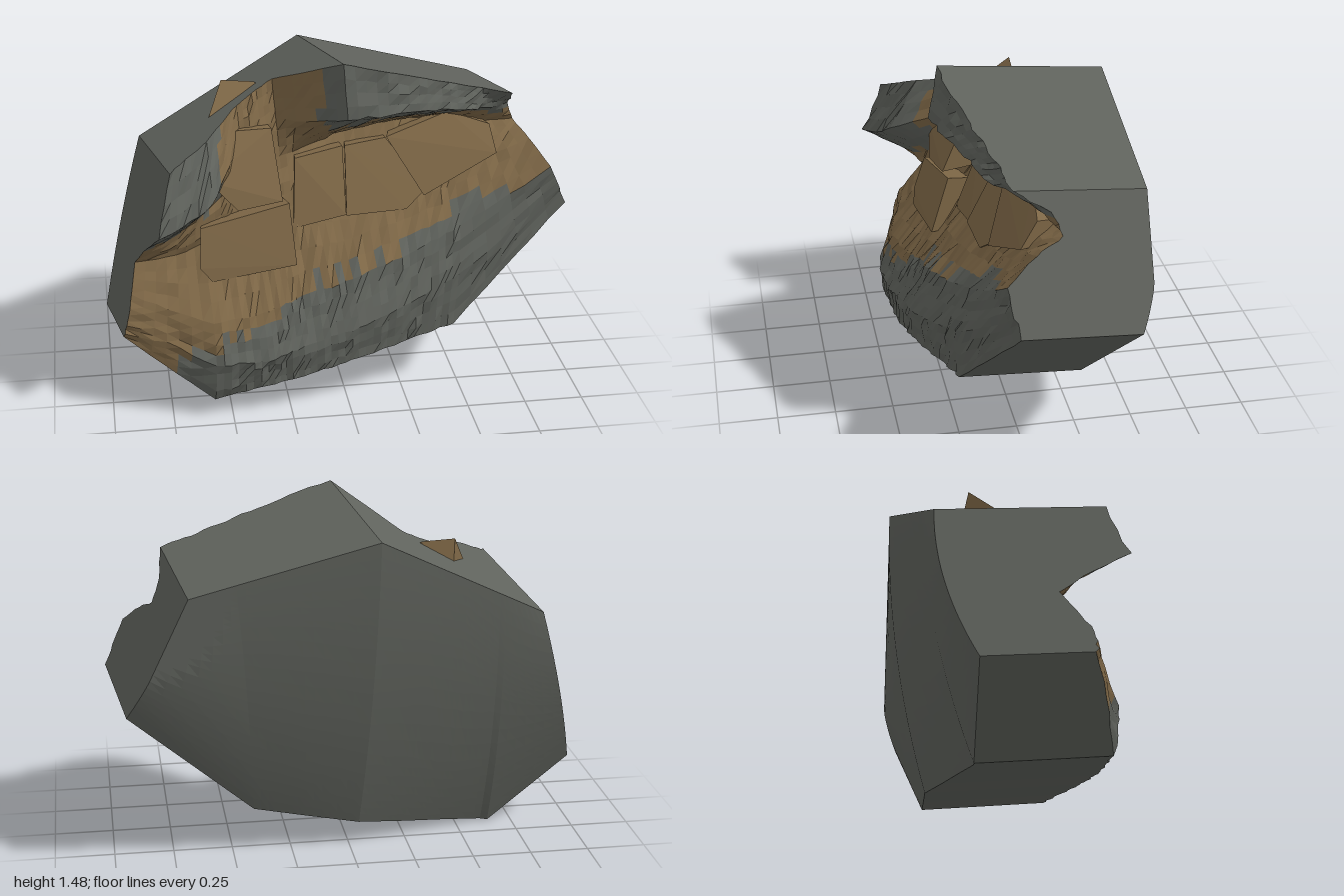
import * as THREE from 'three';
import { ConvexGeometry } from 'three/addons/geometries/ConvexGeometry.js';

const GREY = 0x5f625c, BROWN = 0x7f6847;
const SHEAR = 0.137; // the block leans right and up as it comes forward
const SUB_X = 7, SUB_Y = 4;

// Cross-sections from left wall to right wall: bottom corner of the outline, x of the top corner,
// depth at the bottom, [y, z] up the front (belly, floor front, floor back, cave back, lip), depth at the top.
const sections = [
  { bottom: [-0.985, 0.305], top: -0.78, z0: 0.32, p: [[0.42, 0.32], [0.52, 0.27], [0.63, 0.19], [0.72, 0.28], [0.86, 0.48]], z1: 0.39 },
  { bottom: [-0.63, 0.02], top: -0.6, z0: 0.42, p: [[0.25, 0.45], [0.42, 0.39], [0.7, 0.18], [0.83, 0.18], [0.96, 0.38]], z1: 0.25 },
  { bottom: [-0.4, 0.066], top: -0.42, z0: 0.41, p: [[0.25, 0.43], [0.43, 0.35], [0.75, 0.12], [0.95, 0.08], [1.1, 0.05]], z1: 0.01 },
  { bottom: [-0.22, 0.1], top: -0.25, z0: 0.4, p: [[0.3, 0.41], [0.48, 0.31], [0.8, 0.08], [1.0, 0.01], [1.15, -0.03]], z1: -0.08 },
  { bottom: [0, 0.145], top: -0.035, z0: 0.36, p: [[0.35, 0.38], [0.54, 0.3], [0.8, 0.06], [1.04, -0.08], [1.25, 0.29]], z1: 0.25 },
  { bottom: [0.23, 0.19], top: 0.3, z0: 0.3, p: [[0.42, 0.31], [0.61, 0.24], [0.85, 0.04], [1.1, -0.1], [1.25, 0.22]], z1: 0.18 },
  { bottom: [0.45, 0.235], top: 0.55, z0: 0.24, p: [[0.5, 0.24], [0.7, 0.18], [0.9, 0.02], [1.1, -0.12], [1.22, 0.14]], z1: 0.11 },
  { bottom: [0.99, 0.73], top: 0.74, z0: 0.08, p: [[0.82, 0.1], [0.93, 0.12], [1.02, 0], [1.07, -0.12], [1.16, -0.07]], z1: 0.07 },
];

const lerp = THREE.MathUtils.lerp;
const hash = (i, j) => {
  const s = Math.sin(i * 127.1 + j * 311.7) * 43758.5453;
  return s - Math.floor(s) - 0.5;
};
const place = (u, v, z) => new THREE.Vector3(u + SHEAR * z, v + SHEAR * z, z);

// Gabled top edge, and depth of the back along its top and bottom edges
const gable = (u) => 1.445 + 0.53 * Math.min(u + 0.035, 0) - 0.258 * Math.max(u + 0.035, 0);
const backTop = (u) => -0.48 - 0.236 * Math.min(u + 0.035, 0);
const backBottom = (u) => Math.min(-0.13, -0.3 - 0.286 * Math.min(u, 0) - 0.22 * Math.max(u - 0.45, 0));

// Each section as [fraction up the outline, depth] pairs
const profiles = sections.map(({ bottom, top, z0, p, z1 }) => [
  [0, z0],
  ...p.map(([y, z]) => [(y - SHEAR * z - bottom[1]) / (gable(top) - bottom[1]), z]),
  [1, z1],
]);

const COLS = (sections.length - 1) * SUB_X, ROWS = 6 * SUB_Y;

// Front and back point of one grid cell corner
function corner(i, j) {
  const c = Math.min(Math.floor(i / SUB_X), sections.length - 2), fx = i / SUB_X - c;
  const r = Math.min(Math.floor(j / SUB_Y), 5), fy = j / SUB_Y - r;
  const mix = (k) => lerp(
    lerp(profiles[c][r][k], profiles[c][r + 1][k], fy),
    lerp(profiles[c + 1][r][k], profiles[c + 1][r + 1][k], fy), fx);
  const [a, b] = [sections[c], sections[c + 1]];
  const u0 = lerp(a.bottom[0], b.bottom[0], fx), v0 = lerp(a.bottom[1], b.bottom[1], fx);
  const u1 = lerp(a.top, b.top, fx);
  const inside = i > 0 && i < COLS && j > 0 && j < ROWS;
  const t = mix(0) + (inside ? hash(j, i + 40) * 0.008 : 0);
  const u = lerp(u0, u1, t), v = lerp(v0, gable(u1), t);
  const z = mix(1) + hash(i, j) * 0.018;
  const zBack = lerp(backBottom(u0), backTop(u1), t) - 0.18 * t * (1 - t);
  return { front: place(u, v, z), back: place(u, v, Math.max(-0.48, zBack)) };
}

function mesh(name, geometry, color) {
  const m = new THREE.Mesh(geometry, new THREE.MeshStandardMaterial({ color, flatShading: true }));
  m.name = name;
  return m;
}

function fromTriangles(points) {
  const g = new THREE.BufferGeometry().setFromPoints(points);
  g.computeVertexNormals();
  return g;
}

// Faceted boulder: an outline of [x, y, z] corners pushed back and shrunk
function boulder(name, outline, depth) {
  const pts = outline.map((p) => new THREE.Vector3(...p));
  const mid = pts.reduce((a, p) => a.add(p), new THREE.Vector3()).divideScalar(pts.length);
  const rear = pts.map((p) => p.clone().lerp(mid, 0.15).add(new THREE.Vector3(0, 0, -depth)));
  return mesh(name, new ConvexGeometry([...pts, ...rear]), BROWN);
}

export function createModel() {
  const group = new THREE.Group();
  group.name = 'caveRock';
  const grid = [];
  for (let i = 0; i <= COLS; i++) {
    grid.push([]);
    for (let j = 0; j <= ROWS; j++) grid[i].push(corner(i, j));
  }
  const F = (i, j) => grid[i][j].front, B = (i, j) => grid[i][j].back;
  const shell = [], crust = [], cave = [];
  const quad = (list, a, b, c, d) => list.push(a, b, c, a, c, d);

  // Carved front (crust outside, earth inside) and smooth back
  for (let i = 0; i < COLS; i++) {
    for (let j = 0; j < ROWS; j++) {
      const jag = hash(i, 7), { x, y } = F(i, j);
      const roofStart = x < -0.52 ? 3.9 * SUB_Y : x < -0.1 ? ROWS + 3 : 4.5 * SUB_Y;
      const brown = y > 0.53 + 0.4 * x + jag * 0.06 && j < roofStart + jag * 2;
      quad(brown ? cave : crust, F(i, j), F(i + 1, j), F(i + 1, j + 1), F(i, j + 1));
      quad(shell, B(i, j), B(i, j + 1), B(i + 1, j + 1), B(i + 1, j));
    }
    // Underside and top walls
    quad(shell, F(i, 0), B(i, 0), B(i + 1, 0), F(i + 1, 0));
    quad(shell, F(i, ROWS), F(i + 1, ROWS), B(i + 1, ROWS), B(i, ROWS));
  }
  // Side walls
  for (let j = 0; j < ROWS; j++) {
    quad(shell, B(0, j), F(0, j), F(0, j + 1), B(0, j + 1));
    quad(shell, F(COLS, j), B(COLS, j), B(COLS, j + 1), F(COLS, j + 1));
  }
  group.add(
    mesh('rockShell', fromTriangles(shell), GREY),
    mesh('rockFace', fromTriangles(crust), GREY),
    mesh('caveInterior', fromTriangles(cave), BROWN),
  );

  // Fallen boulders inside the cave
  group.add(
    boulder('frontBoulder', [[-0.61, 0.62, 0.27], [-0.56, 0.56, 0.28], [-0.2, 0.6, 0.25], [-0.22, 0.85, 0.17], [-0.6, 0.78, 0.22]], 0.2),
    boulder('middleBoulder', [[-0.2, 0.72, 0.14], [0.03, 0.76, 0.12], [0.03, 1.03, 0], [-0.18, 1.0, 0.04]], 0.2),
    boulder('centreBoulder', [[0.03, 0.76, 0.13], [0.29, 0.77, 0.12], [0.38, 0.84, 0.08], [0.22, 1.05, -0.02], [0.04, 1.03, 0]], 0.2),
    boulder('rightBoulder', [[0.37, 0.82, 0.1], [0.7, 0.97, 0.03], [0.68, 1.08, -0.04], [0.5, 1.14, -0.06], [0.22, 1.06, 0]], 0.15),
    boulder('leftBoulder', [[-0.56, 0.98, 0.2], [-0.44, 0.85, 0.22], [-0.25, 0.87, 0.19], [-0.28, 1.15, 0.06], [-0.57, 1.15, 0.08]], 0.2),
  );

  // Pointed shard breaking through the top
  group.add(mesh('topShard', new ConvexGeometry([
    [-0.55, 1.15, 0], [-0.22, 1.2, -0.08], [-0.47, 1.3, -0.15], [-0.33, 1.29, -0.14],
    [-0.45, 1.05, -0.2], [-0.3, 1.05, 0],
  ].map((p) => new THREE.Vector3(...p))), BROWN));
  return group;
}
